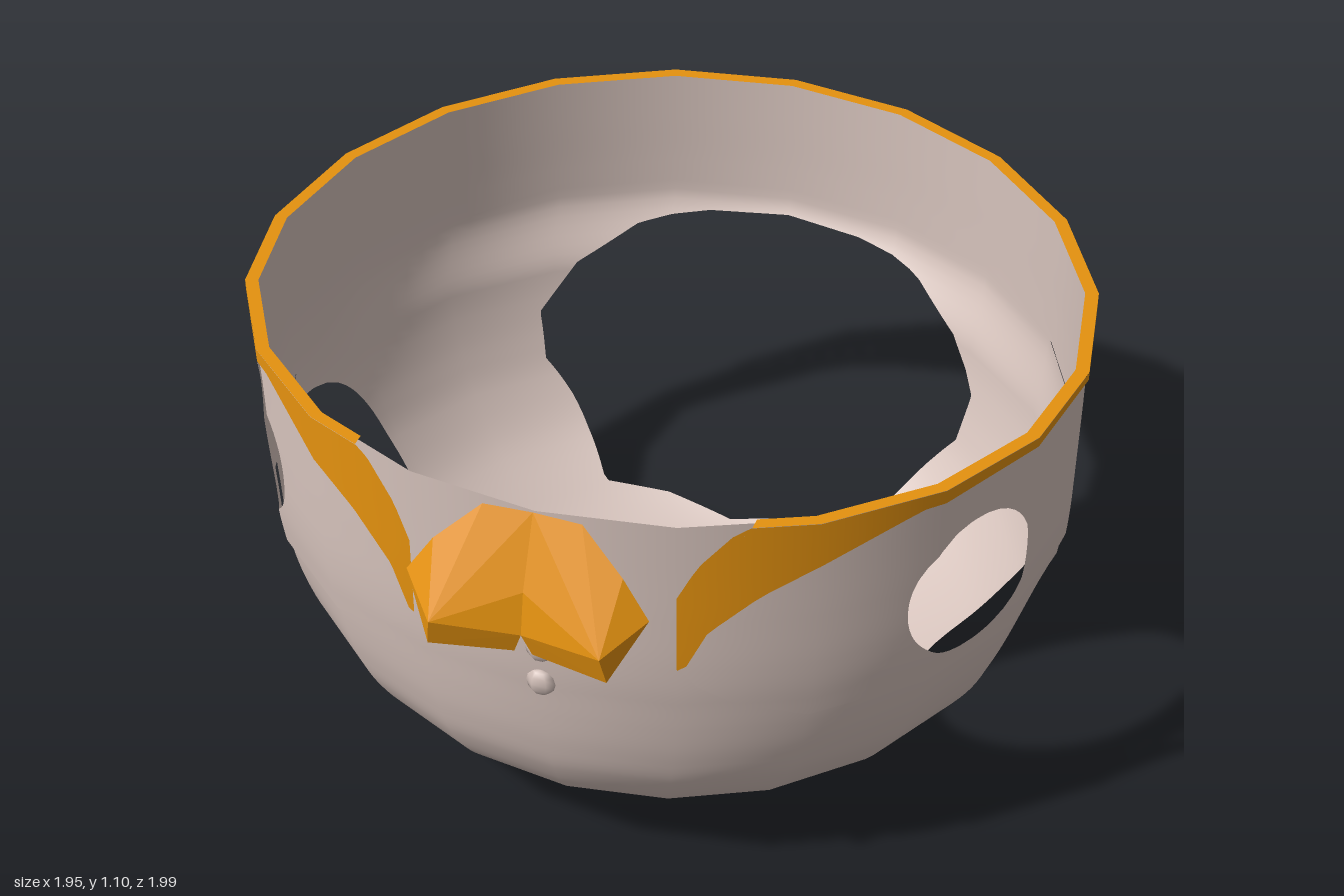
import * as THREE from 'three';
import { ConvexGeometry } from 'three/addons/geometries/ConvexGeometry.js';

const SIDES = 20;
const STEP = (Math.PI * 2) / SIDES;
const { smoothstep } = THREE.MathUtils;

// Radius against height, from the bottom of the bowl to the rim
const profile = new THREE.SplineCurve([
  [0, 0], [0.25, 0.007], [0.38, 0.025], [0.49, 0.055], [0.6, 0.11], [0.73, 0.2], [0.82, 0.31],
  [0.87, 0.41], [0.902, 0.51], [0.92, 0.61], [0.928, 0.71], [0.93, 0.83], [0.93, 0.96], [0.93, 1.095],
].map(([r, y]) => new THREE.Vector2(r, y)));

// Straight-line lookup in a short list of [input, output] pairs
function lookup(pairs, t) {
  if (t <= pairs[0][0]) return pairs[0][1];
  for (let i = 1; i < pairs.length; i++) {
    const [a, p] = pairs[i - 1], [b, q] = pairs[i];
    if (t <= b) return p + ((q - p) * (t - a)) / (b - a);
  }
  return pairs[pairs.length - 1][1];
}

// Depth of the back half: the bowl is drawn in below the jacket
const jacketBack = () => 1.045;
const bowlBack = (y) => 1 - 0.04 * smoothstep(y, 0, 0.5) + 0.085 * smoothstep(y, 0.58, 0.76);

// Ring position: the front half is shallower than the back half
function ring(theta, r, y, back) {
  const c = Math.cos(theta);
  const depth = c > 0 ? 1 - 0.088 * smoothstep(y, 0, 0.6) : back(y);
  return new THREE.Vector3(Math.sin(theta) * r * 1.027, y, c * r * depth);
}

const wall = (offset, back) => (theta, v) => {
  const p = profile.getPoint(v);
  return ring(theta, p.x + offset, p.y, back);
};

// Sheet over (theta, v), kept only where keep(position) > 0, with smooth normals
function sheet(surface, rows, keep) {
  const columns = SIDES * 6, positions = [], normals = [];
  const at = (t, v) => {
    const k = Math.floor(t / STEP + 1e-6);
    return surface(k * STEP, v).lerp(surface((k + 1) * STEP, v), t / STEP - k);
  };
  const vertex = (t, v) => {
    const p = at(t, v);
    return { t, v, p, f: keep(p) };
  };
  const crossing = (a, b) => {
    for (let i = 0; i < 9; i++) {
      const m = vertex((a.t + b.t) / 2, (a.v + b.v) / 2);
      if (m.f > 0 === a.f > 0) a = m; else b = m;
    }
    return a;
  };
  const emit = (q) => {
    const v = Math.min(0.99, Math.max(0.01, q.v)), e = 0.004;
    const du = surface(q.t + e, v).sub(surface(q.t - e, v));
    const dv = surface(q.t, v + e).sub(surface(q.t, v - e));
    positions.push(q.p.x, q.p.y, q.p.z);
    normals.push(...du.cross(dv).normalize().toArray());
  };
  const clip = (tri) => {
    const poly = [];
    tri.forEach((a, i) => {
      const b = tri[(i + 1) % 3];
      if (a.f > 0) poly.push(a);
      if (a.f > 0 !== b.f > 0) poly.push(crossing(a, b));
    });
    for (let i = 1; i + 1 < poly.length; i++) [poly[0], poly[i], poly[i + 1]].forEach(emit);
  };
  const grid = [];
  for (let j = 0; j <= rows; j++) {
    grid.push([]);
    for (let i = 0; i <= columns; i++) grid[j].push(vertex((i / columns) * Math.PI * 2, j / rows));
  }
  for (let j = 0; j < rows; j++) {
    for (let i = 0; i < columns; i++) {
      const a = grid[j][i], b = grid[j][i + 1], c = grid[j + 1][i + 1], d = grid[j + 1][i];
      clip([a, b, c]);
      clip([a, c, d]);
    }
  }
  const g = new THREE.BufferGeometry();
  g.setAttribute('position', new THREE.Float32BufferAttribute(positions, 3));
  g.setAttribute('normal', new THREE.Float32BufferAttribute(normals, 3));
  return g;
}

// Openings: negative inside the hole
const oval = (u, v, ru, rv) => Math.abs(u / ru) ** 2.15 + Math.abs(v / rv) ** 2.15 - 1;
const armHole = (p) => (Math.abs(p.x) < 0.5 ? 1 : oval(p.z - 0.4, p.y - 0.78, 0.147, 0.178));
const legHole = (p) => (Math.abs(p.x) < 0.4 ? 1 : oval(p.z, p.y - 0.347, 0.215, 0.232));

// Back opening: mirrored convex outline, tested edge by edge
const backOutline = [[0, 0.06], [0.34, 0.11], [0.42, 0.195], [0.55, 0.36], [0.575, 0.48],
  [0.5, 0.6], [0.37, 0.68], [0.2, 0.71], [0, 0.715]];
const backHole = (p) => {
  if (p.z > 0) return 1;
  let distance = -1;
  for (let i = 1; i < backOutline.length; i++) {
    const [ax, ay] = backOutline[i - 1], [bx, by] = backOutline[i];
    const dx = bx - ax, dy = by - ay;
    distance = Math.max(distance, ((Math.abs(p.x) - ax) * dy - (p.y - ay) * dx) / Math.hypot(dx, dy));
  }
  return distance;
};

// Jacket hem height, jacket front edge and lower edge of the collar
const hem = (p) => lookup([[-0.97, 0.8], [-0.4, 0.725], [0, 0.64], [0.2, 0.57], [0.32, 0.55]], p.z);
const frontEdge = (p) => (p.z < 0 ? 1 : Math.abs(p.x) - lookup([[0.5, 0.62], [0.55, 0.55], [0.6, 0.41],
  [0.66, 0.335], [0.72, 0.3], [0.92, 0.3], [1.0, 0.34], [1.08, 0.41], [1.1, 0.45]], p.y));
const collarLine = (p) => (p.z < 0
  ? lookup([[-0.98, 1.02], [-0.5, 1.05], [0, 1.07]], p.z)
  : lookup([[0.3, 0.69], [0.36, 0.82], [0.46, 0.91], [0.57, 0.98], [0.75, 1.06], [0.97, 1.075]], Math.abs(p.x)));

export function createModel() {
  const model = new THREE.Group();
  const cloth = new THREE.MeshStandardMaterial({ name: 'pale cloth', color: 0xd6c3bc, side: THREE.DoubleSide });
  const orange = new THREE.MeshStandardMaterial({ name: 'orange trim', color: 0xe5920f, side: THREE.DoubleSide });
  const add = (name, geometry, material) => {
    const mesh = new THREE.Mesh(geometry, material);
    mesh.name = name;
    model.add(mesh);
    return mesh;
  };

  // Lower bowl with leg and back openings, running up into the shirt front
  add('bowlAndShirt', sheet(wall(0, bowlBack), 60, (p) => Math.min(legHole(p), backHole(p),
    Math.max(hem(p) + 0.02 - p.y, p.z > 0 ? 0.56 - Math.abs(p.x) : -1))), cloth);

  // Open jacket with arm openings
  add('jacket', sheet(wall(0.008, jacketBack), 60,
    (p) => Math.min(armHole(p), frontEdge(p), p.y - hem(p))), cloth);

  // Collar with lapels, and its flat top edge
  add('collar', sheet(wall(0.018, jacketBack), 60,
    (p) => Math.min(frontEdge(p), p.y - collarLine(p))), orange);
  add('collarTop', sheet((t, v) => ring(t, 0.948 - 0.03 * v, 1.096, jacketBack), 2, frontEdge), orange);

  // Bow tie: two mirrored faceted lobes
  for (const s of [1, -1]) {
    const lobe = [
      [0, 1.1, 0.86], [0.11, 1.1, 0.865], [0.21, 1.01, 0.9], [0.27, 0.92, 0.91], [0.19, 0.86, 0.995],
      [0.2, 0.79, 0.98], [0.02, 0.785, 0.94], [0.17, 0.785, 0.93], [0, 0.84, 0.95], [0, 0.94, 0.93], [0, 0.95, 0.85],
    ].map(([x, y, z]) => new THREE.Vector3(x * s, y, z));
    add(s > 0 ? 'bowLeft' : 'bowRight', new ConvexGeometry(lobe), orange);
  }

  // Back of the bow showing inside the shirt
  const tails = new THREE.Shape([[0.025, 1.07], [-0.025, 1.07], [-0.085, 0.88], [0, 0.97], [0.085, 0.88]]
    .map(([x, y]) => new THREE.Vector2(x, y)));
  add('bowBack', new THREE.ShapeGeometry(tails), orange).position.z = 0.828;

  // Shirt buttons
  for (const y of [0.625, 0.72, 0.815]) {
    const button = add('button', new THREE.SphereGeometry(0.034, 6, 6), cloth);
    button.position.set(0, y, 0.847);
    button.scale.z = 0.5;
  }
  return model;
}
